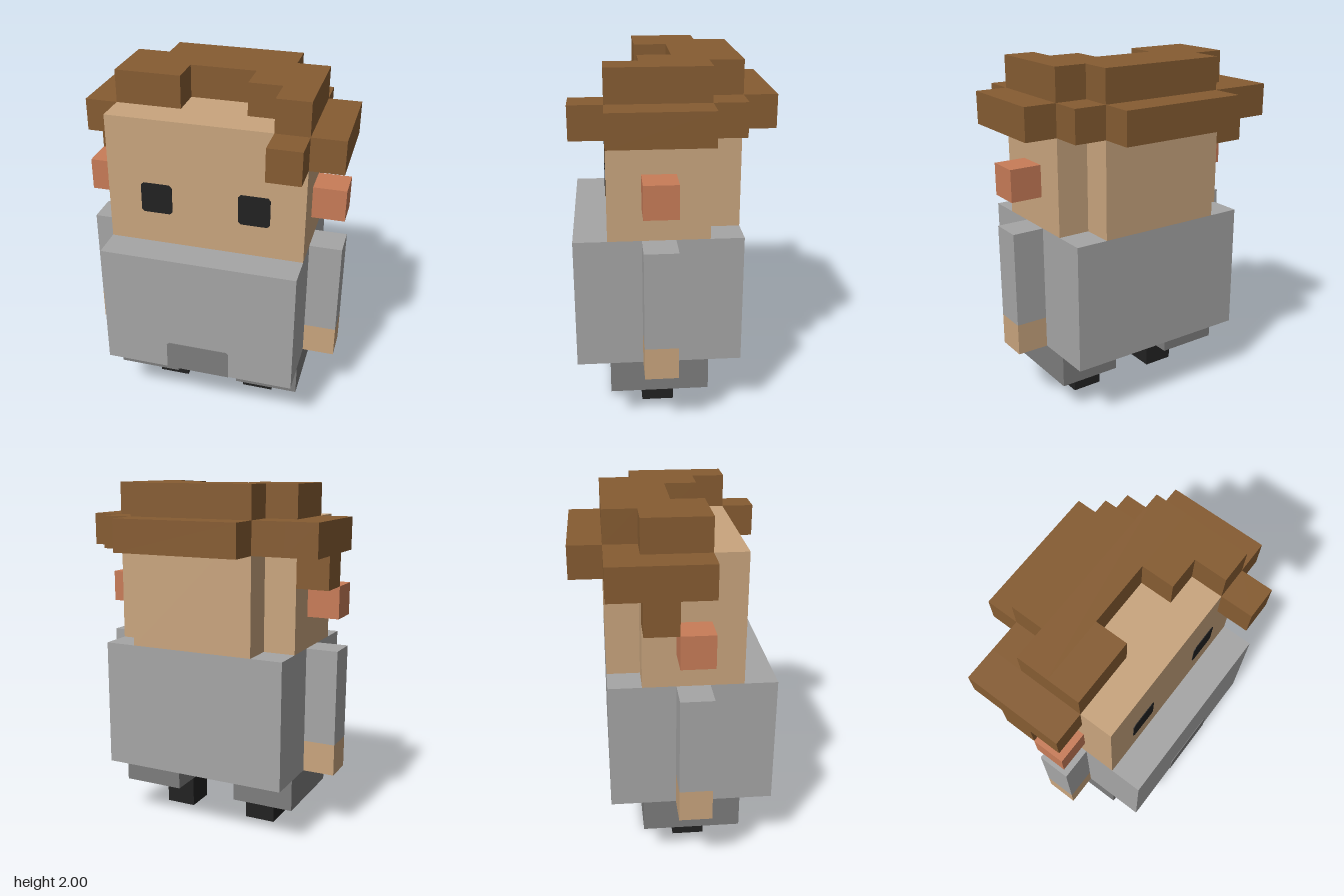
import * as THREE from 'three';

// The figure sits on a cubic grid, eleven cells tall
const U = 2 / 11;

function material(name, color) {
  const m = new THREE.MeshStandardMaterial({ color });
  m.name = name;
  return m;
}

export function createModel() {
  const hairBrown = material('hairBrown', 0x865c32);
  const skin = material('skin', 0xc9a57e);
  const earPink = material('earPink', 0xc87c58);
  const shirtGrey = material('shirtGrey', 0xa6a6a6);
  const trouserGrey = material('trouserGrey', 0x7d7d7d);
  const black = material('black', 0x222222);

  const model = new THREE.Group();
  model.name = 'blockFigure';

  // Box between two grid corners, in cells
  function block(name, mat, [x0, x1], [y0, y1], [z0, z1], parent = model) {
    const geo = new THREE.BoxGeometry((x1 - x0) * U, (y1 - y0) * U, (z1 - z0) * U);
    const mesh = new THREE.Mesh(geo, mat);
    mesh.position.set((x0 + x1) / 2 * U, (y0 + y1) / 2 * U, (z0 + z1) / 2 * U);
    mesh.name = name;
    parent.add(mesh);
    return mesh;
  }

  // Thin painted plate facing front, with small clipped corners
  function plate(name, mat, [x0, x1], [y0, y1], z, clipBottom) {
    const c = 0.08, b = clipBottom ? c : 0;
    const pts = [[x0 + b, y0], [x1 - b, y0], [x1, y0 + b], [x1, y1 - c],
      [x1 - c, y1], [x0 + c, y1], [x0, y1 - c], [x0, y0 + b]];
    const shape = new THREE.Shape(pts.map(([x, y]) => new THREE.Vector2(x * U, y * U)));
    const geo = new THREE.ExtrudeGeometry(shape, { depth: 0.004, bevelEnabled: false });
    const mesh = new THREE.Mesh(geo, mat);
    mesh.position.z = z * U;
    mesh.name = name;
    model.add(mesh);
  }

  // Torso with the trouser patch on its front and underside
  block('torso', shirtGrey, [-3, 3], [2, 6], [-2, 3]);
  plate('trouserFront', trouserGrey, [-1, 1], [2, 2.95], 3, false);
  block('trouserUnderside', trouserGrey, [-1, 1], [1.98, 2], [-1, 2]);

  // Head, narrower by one cell on each side at the back
  block('head', skin, [-3, 3], [6, 10], [-1, 2]);
  block('headBack', skin, [-2, 2], [6, 10], [-2, -1]);

  // Mirrored limbs, ears and eyes
  for (const [side, s] of [['left', 1], ['right', -1]]) {
    const span = (a, b) => (s > 0 ? [a, b] : [-b, -a]);
    block(side + 'Foot', black, span(1, 2), [0, 1], [0, 1]);
    block(side + 'Leg', trouserGrey, span(1, 3), [1, 2], [-1, 2]);
    block(side + 'Sleeve', shirtGrey, span(3, 4), [3, 6], [0, 1]);
    block(side + 'Hand', skin, span(3, 4), [2, 3], [0, 1]);
    block(side + 'Ear', earPink, span(3, 4), [7, 8], [0, 1]);
    plate(side + 'Eye', black, span(1.01, 1.97), [7.02, 7.98], 2, true);
  }

  // Hair: upper layer around the open brow, lower layer hanging over the head
  const hair = new THREE.Group();
  hair.name = 'hair';
  model.add(hair);
  const top = [10, 11], low = [9, 10];
  block('hairCrownBack', hairBrown, [-2, 2], top, [-2, -1], hair);
  block('hairCrown', hairBrown, [-3, 3], top, [-1, 0], hair);
  block('hairCrownRight', hairBrown, [-3, -1], top, [0, 1], hair);
  block('hairCrownLeft', hairBrown, [1, 3], top, [0, 1], hair);
  block('hairFringe', hairBrown, [2, 3], top, [1, 2], hair);
  block('hairForelock', hairBrown, [2, 3], low, [2, 3], hair);
  block('hairSideLeft', hairBrown, [3, 4], low, [-1, 2], hair);
  block('hairCornerLeft', hairBrown, [2, 3], low, [-2, -1], hair);
  block('hairBack', hairBrown, [-2, 2], low, [-3, -2], hair);
  block('hairCornerRight', hairBrown, [-3, -2], low, [-2, -1], hair);
  block('hairSideRight', hairBrown, [-4, -3], low, [-2, 1], hair);
  block('hairSideburn', hairBrown, [-4, -3], [8, 9], [-1, 0], hair);

  return model;
}
